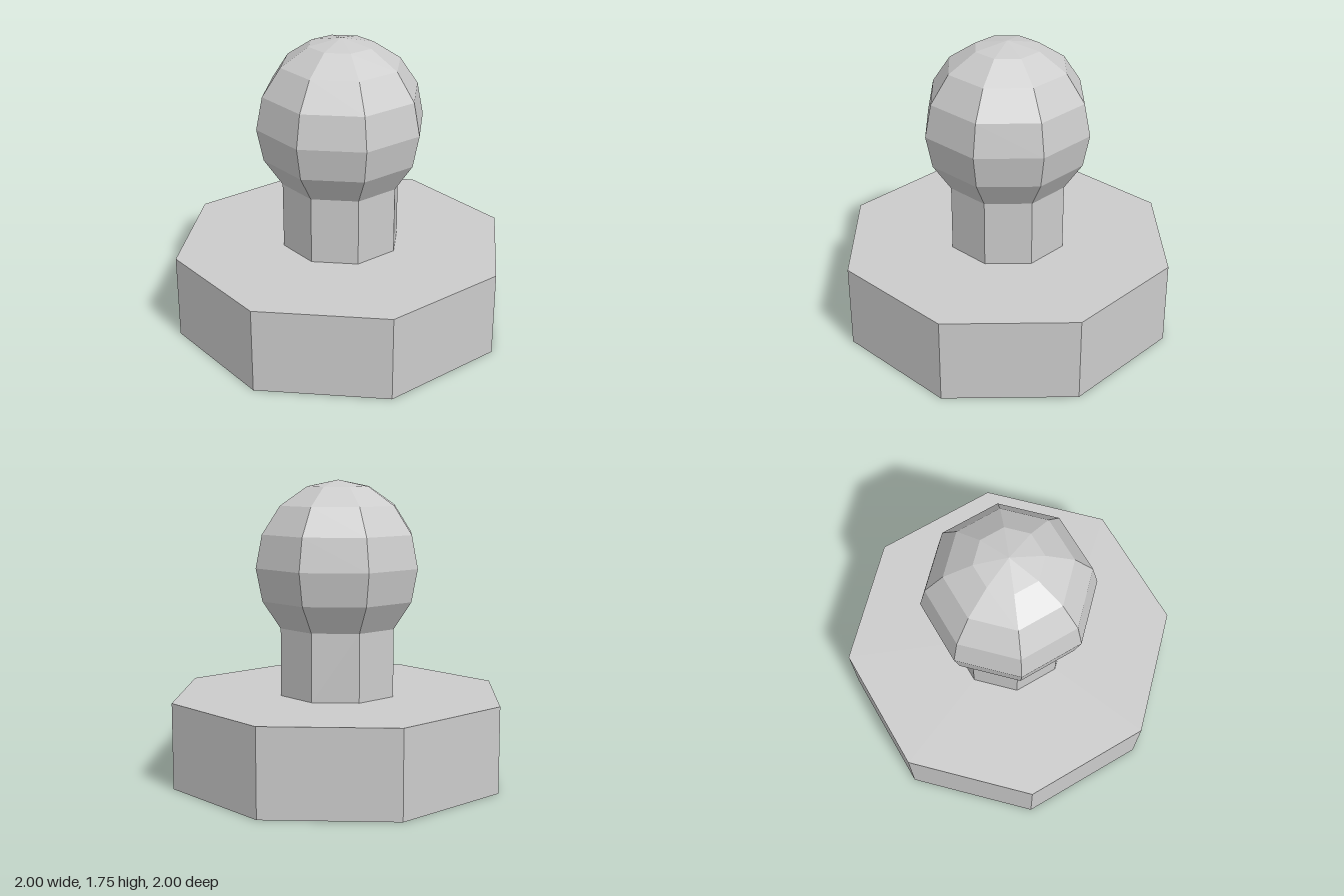
import * as THREE from 'three';

const SIDES = 8;
const BASE_RADIUS = 1, BASE_HEIGHT = 0.5;
const BALL_RADIUS = 0.5, BALL_CENTRE = 1.25;
// The ball is cut at 135 degrees from its top, where the neck meets it
const CUT = Math.PI * 0.75;
const NECK_RADIUS = BALL_RADIUS * Math.sin(CUT);
const NECK_TOP = BALL_CENTRE + BALL_RADIUS * Math.cos(CUT);

export function createModel() {
  const group = new THREE.Group();
  const material = new THREE.MeshStandardMaterial({ color: 0xcccccc, flatShading: true });

  const add = (name, geometry, y = 0) => {
    const mesh = new THREE.Mesh(geometry, material);
    mesh.name = name;
    mesh.position.y = y;
    group.add(mesh);
  };

  // Octagonal base, its top face ending at the neck
  const profile = [[0, 0], [BASE_RADIUS, 0], [BASE_RADIUS, BASE_HEIGHT], [NECK_RADIUS, BASE_HEIGHT]]
    .map(([r, y]) => new THREE.Vector2(r, y));
  add('base', new THREE.LatheGeometry(profile, SIDES));

  // Straight neck, open at both ends where it joins its neighbours
  const neckHeight = NECK_TOP - BASE_HEIGHT;
  add('neck',
    new THREE.CylinderGeometry(NECK_RADIUS, NECK_RADIUS, neckHeight, SIDES, 1, true),
    BASE_HEIGHT + neckHeight / 2);

  // Faceted ball, open at the bottom
  add('ball',
    new THREE.SphereGeometry(BALL_RADIUS, SIDES, 6, 0, Math.PI * 2, 0, CUT),
    BALL_CENTRE);

  return group;
}
